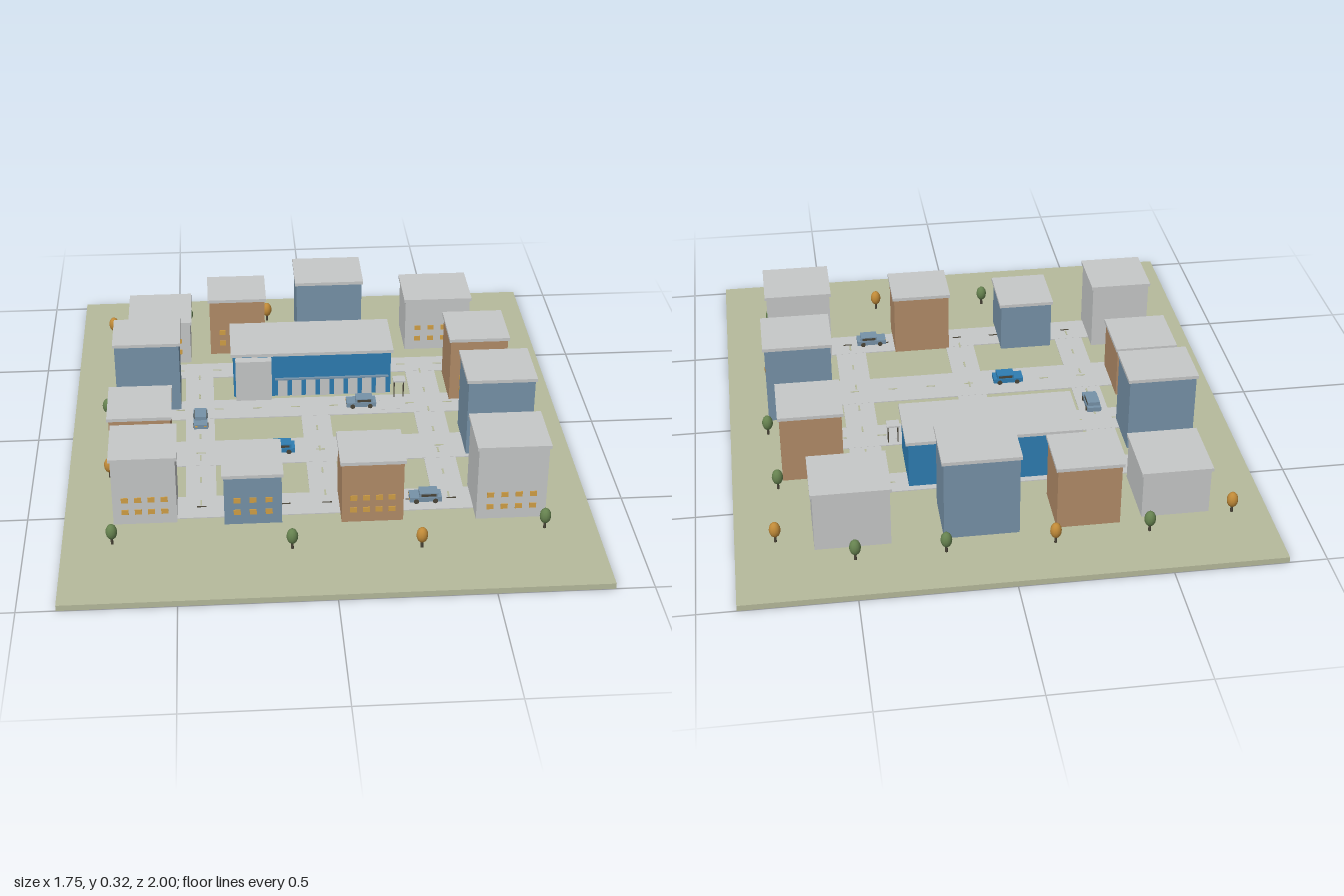
import * as THREE from 'three';

const mat = (name, color) => {
  const m = new THREE.MeshStandardMaterial({ color });
  m.name = name;
  return m;
};

export function createModel() {
  const grass = mat('grass', 0xb6ba9c);
  const pale = mat('paleGrey', 0xc6c8c8);
  const slate = mat('slateBlue', 0x7692a8);
  const brown = mat('brownBrick', 0xb28c68);
  const blue = mat('brightBlue', 0x2e7db2);
  const amber = mat('amberWindow', 0xd2a046);
  const leaf = mat('greenLeaf', 0x66824f);
  const autumn = mat('autumnLeaf', 0xc08a38);
  const dark = mat('darkTrim', 0x4a4538);

  const town = new THREE.Group();
  town.name = 'town';
  const G = 0.02; // ground level

  // Box given by its centre in x and z and its bottom in y
  const box = (parent, name, m, x, y, z, w, h, d) => {
    const b = new THREE.Mesh(new THREE.BoxGeometry(w, h, d), m);
    b.position.set(x, y + h / 2, z);
    b.name = name;
    parent.add(b);
    return b;
  };

  box(town, 'ground', grass, 0, 0, 0, 1.75, G, 2);

  // Streets: x0, x1, z0, z1
  const streets = [
    [-0.59, 0.58, -0.476, -0.37], [-0.6, 0.595, -0.2, -0.07],
    [-0.65, 0.65, 0.08, 0.24], [-0.55, 0.55, 0.43, 0.556],
    [-0.474, -0.37, -0.45, 0.55], [-0.055, 0.05, -0.1, 0.55], [0.357, 0.468, -0.45, 0.55],
  ];
  streets.forEach(([x0, x1, z0, z1], i) => {
    const y = i < 4 ? 0.003 : 0.0025;
    const cx = (x0 + x1) / 2, cz = (z0 + z1) / 2;
    box(town, 'street', pale, cx, G, cz, x1 - x0, y, z1 - z0);
    // Dashed centre line
    const alongX = i < 4;
    const length = alongX ? x1 - x0 : z1 - z0;
    const n = Math.floor(length / 0.14);
    for (let k = 0; k < n; k++) {
      const t = (k - (n - 1) / 2) * 0.14;
      box(town, 'laneDash', i === 3 ? dark : grass, alongX ? cx + t : cx, G + 0.003, alongX ? cz : cz + t,
        alongX ? 0.032 : 0.006, 0.001, alongX ? 0.006 : 0.032);
    }
  });

  // Blocks around the edge: roof x0, x1, z0, z1, total height, wall, window columns
  const blocks = [
    [-0.685, -0.447, -0.73, -0.49, 0.195, pale, 4],
    [-0.383, -0.161, -0.75, -0.55, 0.255, brown, 3],
    [-0.05, 0.209, -0.757, -0.545, 0.32, slate, 4],
    [0.368, 0.627, -0.76, -0.54, 0.237, pale, 4],
    [-0.727, -0.484, -0.333, -0.138, 0.3, slate, 4],
    [-0.738, -0.516, 0.01, 0.228, 0.216, brown, 3],
    [0.49, 0.71, -0.365, -0.148, 0.275, brown, 3],
    [0.5, 0.743, 0.01, 0.228, 0.32, slate, 4],
    [-0.717, -0.495, 0.365, 0.58, 0.275, pale, 4],
    [-0.352, -0.15, 0.386, 0.603, 0.213, slate, 3],
    [0.034, 0.25, 0.418, 0.614, 0.255, brown, 4],
    [0.479, 0.722, 0.407, 0.624, 0.3, pale, 4],
  ];
  for (const [x0, x1, z0, z1, top, wall, cols] of blocks) {
    const b = new THREE.Group();
    b.name = 'block';
    const w = x1 - x0, d = z1 - z0, lip = 0.006, roof = 0.012;
    b.position.set((x0 + x1) / 2, 0, (z0 + z1) / 2);
    box(b, 'walls', wall, 0, G, 0, w - 2 * lip, top - roof - G, d - 2 * lip);
    box(b, 'roof', pale, 0, top - roof, 0, w, roof, d);
    // Two rows of lit windows on the front
    for (let c = 0; c < cols; c++)
      for (const y of [0.058, 0.104])
        box(b, 'window', amber, (c - (cols - 1) / 2) * w * 0.78 / cols, y, d / 2 - lip + 0.001, 0.023, 0.019, 0.004);
    town.add(b);
  }

  // Long central hall with a pale end tower and a glazed front
  const hall = new THREE.Group();
  hall.name = 'centralHall';
  box(hall, 'hallWalls', blue, -0.005, G, -0.338, 0.58, 0.17, 0.23);
  box(hall, 'hallRoof', pale, -0.005, 0.19, -0.338, 0.598, 0.012, 0.243);
  box(hall, 'endTower', pale, -0.222, G, -0.208, 0.132, 0.165, 0.036);
  for (let i = 0; i < 8; i++)
    box(hall, 'frontPanel', pale, -0.115 + i * 0.052, G, -0.221, 0.036, 0.07, 0.006);
  box(hall, 'frontCanopy', slate, 0.066, 0.091, -0.218, 0.42, 0.005, 0.012);
  town.add(hall);

  // Small shelter beside the hall
  box(town, 'shelterRoof', pale, 0.312, 0.095, -0.182, 0.045, 0.006, 0.04);
  for (const x of [0.295, 0.329]) box(town, 'shelterPost', dark, x, G, -0.182, 0.004, 0.076, 0.004);
  box(town, 'forecourt', pale, 0.28, G, -0.13, 0.08, 0.0035, 0.07);

  // Trees: x, z
  const crown = new THREE.SphereGeometry(1, 12, 8);
  const trunk = new THREE.CylinderGeometry(0.004, 0.005, 0.03, 6);
  const plant = (m, spots) => spots.forEach(([x, z]) => {
    const t = new THREE.Group();
    t.name = 'tree';
    t.position.set(x, 0, z);
    const top = new THREE.Mesh(crown, m), stem = new THREE.Mesh(trunk, dark);
    top.name = 'crown';
    stem.name = 'trunk';
    top.scale.set(0.019, 0.028, 0.019);
    top.position.y = 0.068;
    stem.position.y = G + 0.015;
    t.add(top, stem);
    town.add(t);
  });
  plant(autumn, [[-0.754, -0.735], [-0.15, -0.82], [0.743, -0.693], [-0.733, 0.286], [0.722, 0.286], [0.288, 0.765]]);
  plant(leaf, [[-0.463, -0.8], [0.204, -0.82], [0.495, -0.82], [-0.712, -0.466], [0.722, -0.402],
    [-0.754, -0.111], [0.743, -0.069], [-0.712, 0.683], [-0.13, 0.745], [0.703, 0.683]]);

  // Cars: x, z, turn, paint
  const tyre = new THREE.CylinderGeometry(0.009, 0.009, 0.008, 10).rotateX(Math.PI / 2);
  const cars = [[0.168, -0.132, 0, slate], [-0.42, -0.045, Math.PI / 2, slate], [-0.145, 0.16, 0, blue], [0.33, 0.497, 0, slate]];
  for (const [x, z, turn, paint] of cars) {
    const car = new THREE.Group();
    car.name = 'car';
    car.position.set(x, G + 0.003, z);
    car.rotation.y = turn;
    box(car, 'carBody', paint, 0, 0.006, 0, 0.108, 0.017, 0.05);
    box(car, 'carCabin', paint, 0.01, 0.023, 0, 0.062, 0.014, 0.044);
    for (const s of [-1, 1]) {
      box(car, 'sideGlass', dark, 0.01, 0.025, s * 0.022, 0.05, 0.009, 0.002);
      box(car, 'carLight', amber, -0.054, 0.014, s * 0.016, 0.002, 0.005, 0.01);
      for (const wx of [-0.032, 0.032]) {
        const wheel = new THREE.Mesh(tyre, dark);
        wheel.name = 'wheel';
        wheel.position.set(wx, 0.009, s * 0.023);
        car.add(wheel);
      }
    }
    town.add(car);
  }

  return town;
}
